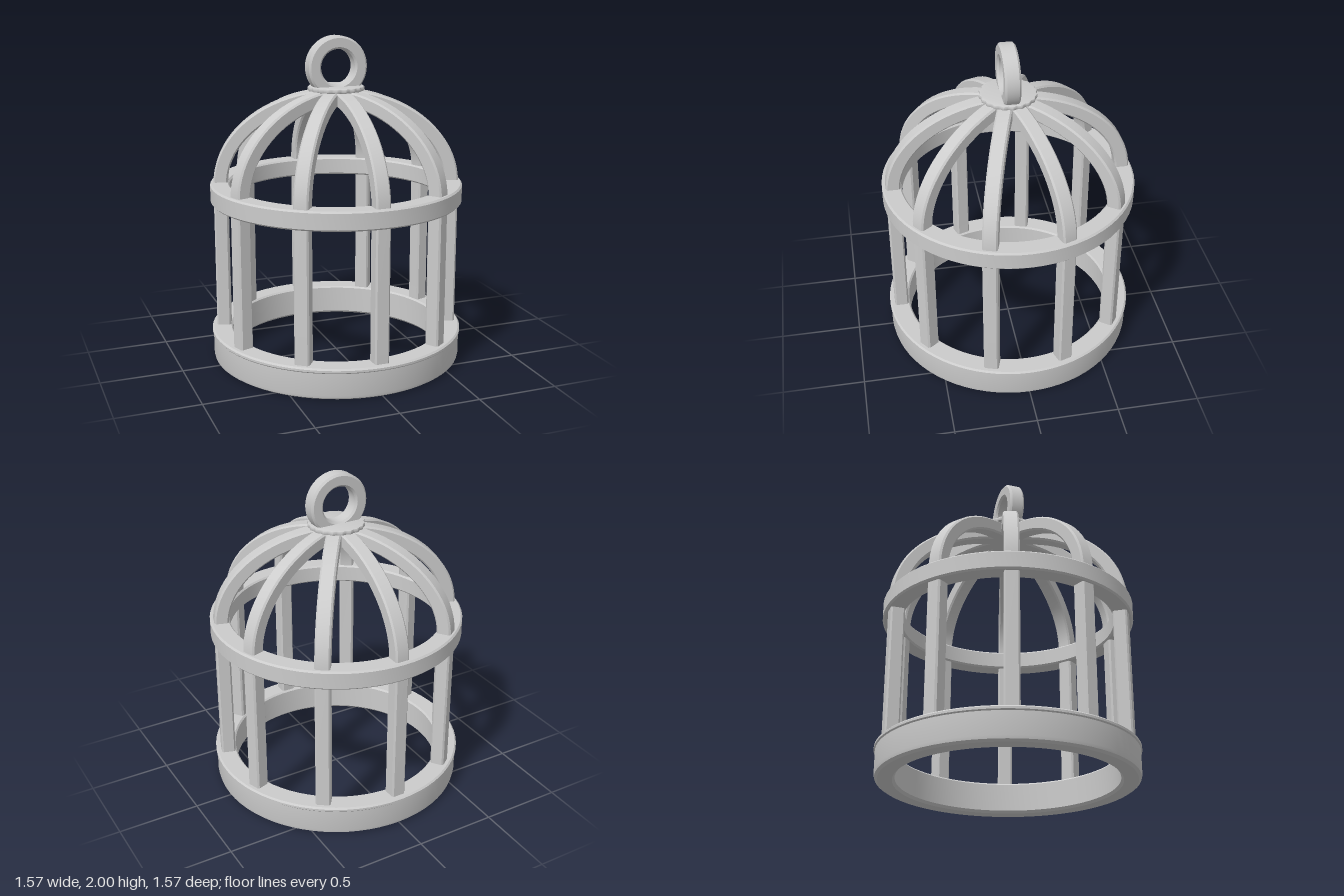
import * as THREE from 'three';
import { toCreasedNormals } from 'three/addons/utils/BufferGeometryUtils.js';

const BAR_COUNT = 10;
const BAR_OUTER = 0.752, BAR_INNER = 0.665, BAR_WIDTH = 0.09;
const SPRING_Y = 1.1; // height where the straight bars bend into the dome

const material = new THREE.MeshStandardMaterial({ color: 0xcccccc, side: THREE.DoubleSide });

function part(name, geometry, crease = 0.5) {
  const mesh = new THREE.Mesh(toCreasedNormals(geometry, crease), material);
  mesh.name = name;
  return mesh;
}

// Closed hoop: the profile runs up the outside and down the inside
function hoop(name, profile, segments = 72) {
  const points = profile.map(([r, y]) => new THREE.Vector2(r, y));
  points.push(points[0].clone());
  return part(name, new THREE.LatheGeometry(points, segments));
}

// Bevelled rectangular profile for a hoop
function bevelledBand(inner, outer, bottom, top, b) {
  return [
    [inner + b, bottom], [outer - b, bottom], [outer, bottom + b], [outer, top - b],
    [outer - b, top], [inner + b, top], [inner, top - b], [inner, bottom + b],
  ];
}

// One bar: a straight upright continuing into a quarter-ellipse dome rib
function barGeometry() {
  const bevel = 0.01, steps = 20;
  const outer = BAR_OUTER - bevel, inner = BAR_INNER + bevel;
  const outerRise = 1.68 - bevel - SPRING_Y, innerRise = 1.595 + bevel - SPRING_Y;
  const shape = new THREE.Shape();
  shape.moveTo(inner, 0.12);
  shape.lineTo(outer, 0.12);
  for (let i = 0; i <= steps; i++) {
    const a = (i / steps) * Math.PI / 2;
    shape.lineTo(outer * Math.cos(a), SPRING_Y + outerRise * Math.sin(a));
  }
  for (let i = steps; i >= 0; i--) {
    const a = (i / steps) * Math.PI / 2;
    shape.lineTo(inner * Math.cos(a), SPRING_Y + innerRise * Math.sin(a));
  }
  const depth = BAR_WIDTH - 2 * bevel;
  const geometry = new THREE.ExtrudeGeometry(shape, {
    depth, bevelEnabled: true, bevelSize: bevel, bevelThickness: bevel, bevelSegments: 1,
  });
  return geometry.translate(0, 0, -depth / 2);
}

// Crown plate with a softly scalloped rim
function crownGeometry() {
  const shape = new THREE.Shape();
  const steps = 120;
  for (let i = 0; i < steps; i++) {
    const a = (i / steps) * Math.PI * 2;
    const r = 0.162 + 0.004 * Math.cos(a * 20);
    if (i === 0) shape.moveTo(r, 0);
    else shape.lineTo(r * Math.cos(a), r * Math.sin(a));
  }
  const geometry = new THREE.ExtrudeGeometry(shape, {
    depth: 0.014, bevelEnabled: true, bevelSize: 0.006, bevelThickness: 0.006, bevelSegments: 2,
  });
  return geometry.rotateX(-Math.PI / 2).translate(0, 1.678, 0);
}

export function createModel() {
  const model = new THREE.Group();
  model.name = 'birdcage';

  // Base hoop with a thin lip around its top edge
  model.add(hoop('baseHoop', [
    [0.67, 0], [0.755, 0], [0.772, 0.012], [0.776, 0.03], [0.776, 0.165],
    [0.783, 0.172], [0.783, 0.185], [0.773, 0.194], [0.665, 0.194],
    [0.655, 0.184], [0.655, 0.015],
  ]));

  // Hoop where the dome begins
  model.add(hoop('domeHoop', bevelledBand(0.655, 0.773, 1.0, 1.115, 0.01)));

  // Bars and dome ribs
  const bars = new THREE.Group();
  bars.name = 'bars';
  const bar = part('bar', barGeometry());
  for (let i = 0; i < BAR_COUNT; i++) {
    const copy = bar.clone();
    copy.rotation.y = Math.PI / 2 + (i / BAR_COUNT) * Math.PI * 2;
    bars.add(copy);
  }
  model.add(bars);

  // Crown plate and hanging ring
  model.add(part('crownPlate', crownGeometry()));
  const ring = hoop('hangingRing', bevelledBand(0.108, 0.186, -0.047, 0.047, 0.012), 48);
  ring.rotation.x = Math.PI / 2;
  ring.position.y = 1.814;
  model.add(ring);

  return model;
}
